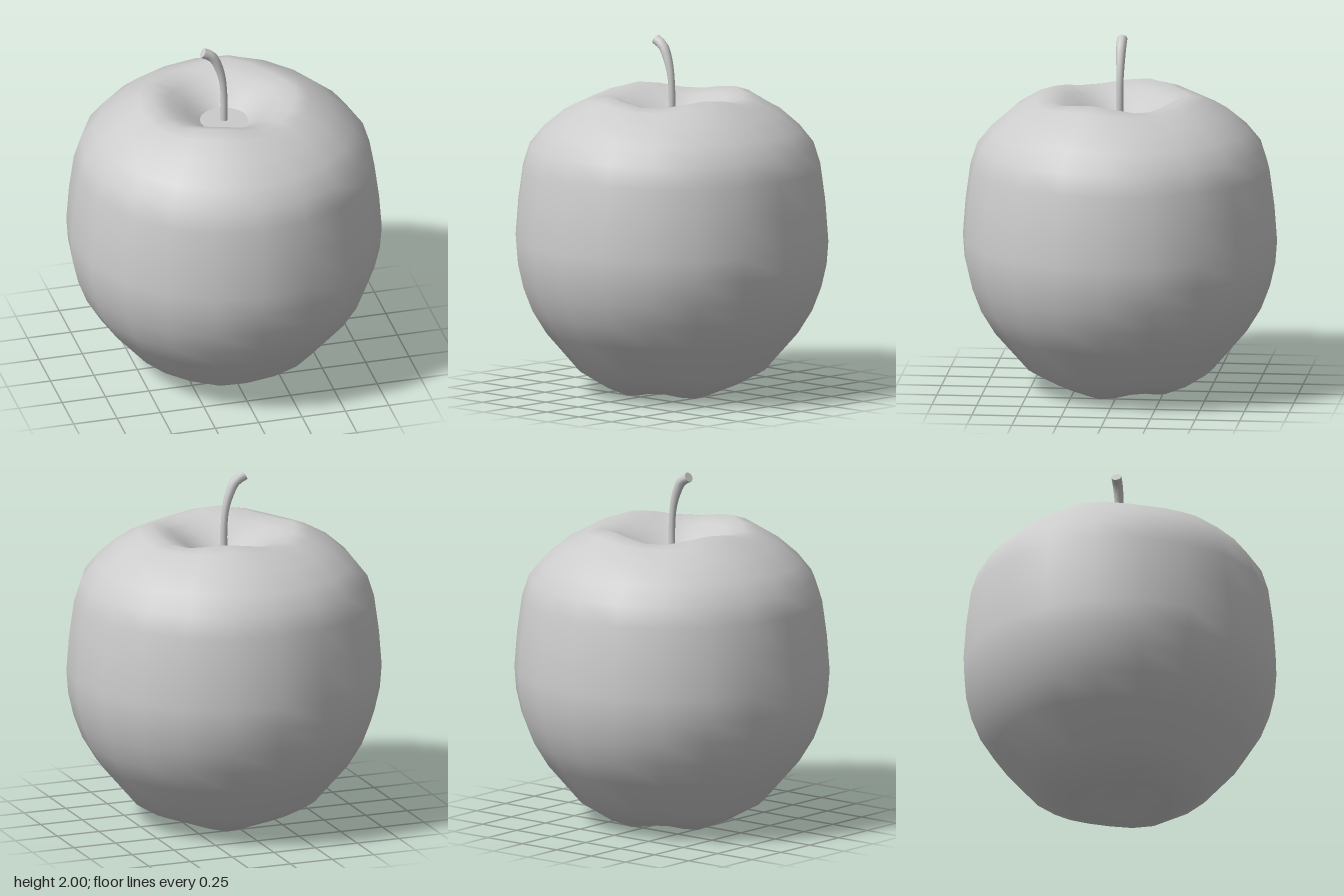
import * as THREE from 'three';
import { mergeVertices } from 'three/addons/utils/BufferGeometryUtils.js';

const SIDES = 20;
const material = new THREE.MeshStandardMaterial({ color: 0xcccccc });

function addMesh(parent, name, geometry) {
  const mesh = new THREE.Mesh(geometry, material);
  mesh.name = name;
  parent.add(mesh);
  return mesh;
}

// Fruit profile from the bottom hollow to the top hollow: radius, height, lobe amplitude
const PROFILE = [
  [0.1, 0.08, 0], [0.19, 0.045, 0.008], [0.28, 0.016, -0.016], [0.4, 0.06, -0.01],
  [0.52, 0.13, -0.004], [0.71, 0.35, 0], [0.79, 0.48, 0], [0.84, 0.61, 0],
  [0.87, 0.74, 0], [0.88, 0.87, 0], [0.865, 1.07, 0], [0.838, 1.27, 0],
  [0.8, 1.39, 0], [0.72, 1.49, 0.002], [0.61, 1.585, 0.006], [0.48, 1.655, 0.014],
  [0.4, 1.675, 0.02], [0.31, 1.645, 0.015], [0.22, 1.59, 0.006], [0.135, 1.53, 0],
];

// Lathe with four soft lobes around the top and bottom rims
function fleshGeometry() {
  const lathe = new THREE.LatheGeometry(PROFILE.map(([r, y]) => new THREE.Vector2(r, y)), SIDES);
  const p = lathe.attributes.position;
  for (let i = 0; i < p.count; i++) {
    const amplitude = PROFILE[i % PROFILE.length][2];
    const angle = Math.atan2(p.getZ(i), p.getX(i));
    p.setY(i, p.getY(i) + amplitude * Math.cos(4 * (angle - Math.PI / 10)));
  }
  // Weld the seam so the shading stays smooth all the way round
  lathe.deleteAttribute('uv');
  lathe.deleteAttribute('normal');
  const welded = mergeVertices(lathe, 1e-4);
  welded.computeVertexNormals();
  return welded;
}

// Curved stem that swells toward its tip
function addStem(parent) {
  const path = new THREE.CatmullRomCurve3([
    [0, 1.52], [0, 1.68], [-0.01, 1.79], [-0.035, 1.88], [-0.07, 1.945], [-0.122, 1.975],
  ].map(([x, y]) => new THREE.Vector3(x, y, 0)));
  const rings = 14, sides = 10;
  const tube = new THREE.TubeGeometry(path, rings, 1, sides);
  const p = tube.attributes.position;
  const v = new THREE.Vector3();
  const radiusAt = (t) => 0.019 + 0.01 * THREE.MathUtils.smoothstep(t, 0.4, 0.95);
  for (let i = 0; i < p.count; i++) {
    const t = Math.floor(i / (sides + 1)) / rings;
    const centre = path.getPointAt(t);
    v.fromBufferAttribute(p, i).sub(centre).multiplyScalar(radiusAt(t)).add(centre);
    p.setXYZ(i, v.x, v.y, v.z);
  }
  const stem = new THREE.Group();
  stem.name = 'stem';
  parent.add(stem);
  addMesh(stem, 'stemShaft', tube);
  const tip = addMesh(stem, 'stemTip', new THREE.CircleGeometry(radiusAt(1), sides));
  const end = path.getPointAt(1);
  tip.position.copy(end);
  tip.lookAt(end.clone().add(path.getTangentAt(1)));
}

export function createModel() {
  const apple = new THREE.Group();
  apple.name = 'apple';
  addMesh(apple, 'flesh', fleshGeometry());

  // Flat floors of the top and bottom hollows
  const topFloor = new THREE.CircleGeometry(0.135, SIDES).rotateX(-Math.PI / 2).translate(0, 1.53, 0);
  addMesh(apple, 'topHollowFloor', topFloor);
  const bottomFloor = new THREE.CircleGeometry(0.1, SIDES).rotateX(Math.PI / 2).translate(0, 0.08, 0);
  addMesh(apple, 'bottomHollowFloor', bottomFloor);

  addStem(apple);
  return apple;
}
